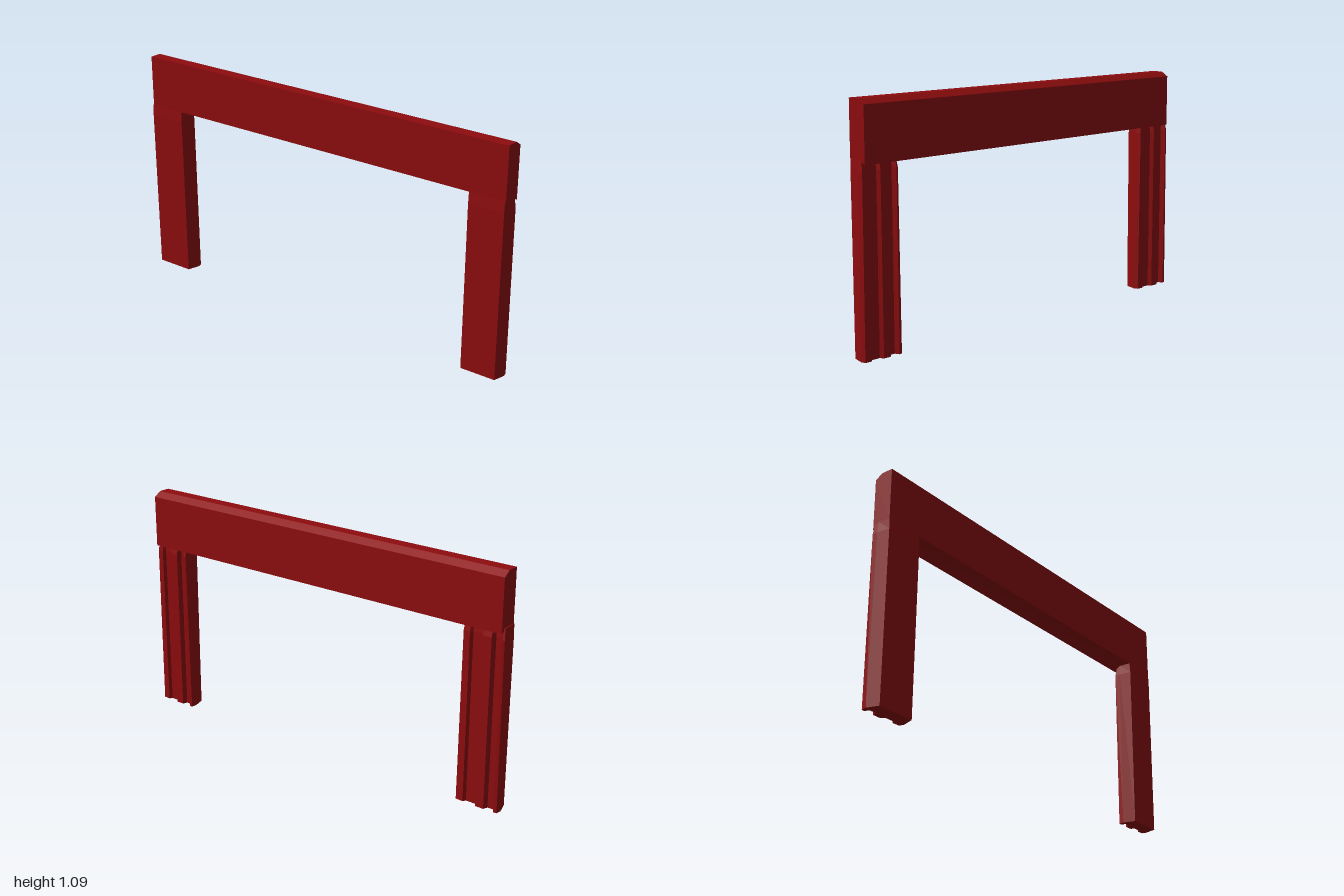
import * as THREE from 'three';

const red = new THREE.MeshStandardMaterial({ color: 0x8e0c0e, flatShading: true });

const shapeOf = (points) => new THREE.Shape(points.map(([a, b]) => new THREE.Vector2(a, b)));

// Crossbeam: a [z, y] profile with a sloped back edge, run along x
function makeBeam() {
  const profile = [
    [0.045, 0.845], [-0.01, 0.845], [-0.047, 0.823],
    [-0.047, 1.068], [-0.012, 1.09], [0.045, 1.09],
  ];
  const geometry = new THREE.ExtrudeGeometry(shapeOf(profile.map(([z, y]) => [-z, y])), {
    depth: 1.965, bevelEnabled: false,
  });
  geometry.rotateY(Math.PI / 2);
  geometry.translate(-0.98, 0, 0);
  const beam = new THREE.Mesh(geometry, red);
  beam.name = 'crossbeam';
  return beam;
}

// Post: flat front, flared sides and a grooved back, narrowing towards the top.
// The profile is [share of half width, z].
const postProfile = [
  [-0.84, 0.045], [0.84, 0.045], [1, -0.012],
  [0.95, -0.034], [0.62, -0.036], [0.54, -0.022], [0.1, -0.022],
  [0.02, -0.04], [-0.36, -0.04], [-0.44, -0.018], [-0.74, -0.018],
  [-0.82, -0.04], [-0.96, -0.038], [-1, -0.012],
];

function makePost(name, centre, halfWidth) {
  const height = 0.845;
  const shape = shapeOf(postProfile.map(([u, z]) => [u * halfWidth, -z]));
  const geometry = new THREE.ExtrudeGeometry(shape, { depth: height, steps: 2, bevelEnabled: false });
  geometry.rotateX(-Math.PI / 2);
  const p = geometry.attributes.position;
  for (let i = 0; i < p.count; i++) {
    // Levels: foot, shoulder, top
    const level = Math.round((p.getY(i) / height) * 2);
    const limit = halfWidth * [1, 0.91, 0.87][level];
    const z = p.getZ(i);
    p.setX(i, THREE.MathUtils.clamp(p.getX(i), -limit, limit));
    p.setY(i, [0, 0.795, height][level]);
    if (level === 1 && z > 0.04) p.setZ(i, 0.049);
    if (level === 2) p.setZ(i, z > 0.04 ? 0.046 : z * 0.75);
  }
  geometry.computeVertexNormals();
  const post = new THREE.Mesh(geometry, red);
  post.name = name;
  post.position.x = centre;
  return post;
}

export function createModel() {
  const model = new THREE.Group();
  model.name = 'frame';
  model.add(
    makeBeam(),
    makePost('leftPost', 0.896, 0.102),
    makePost('rightPost', -0.89, 0.11),
  );
  return model;
}
